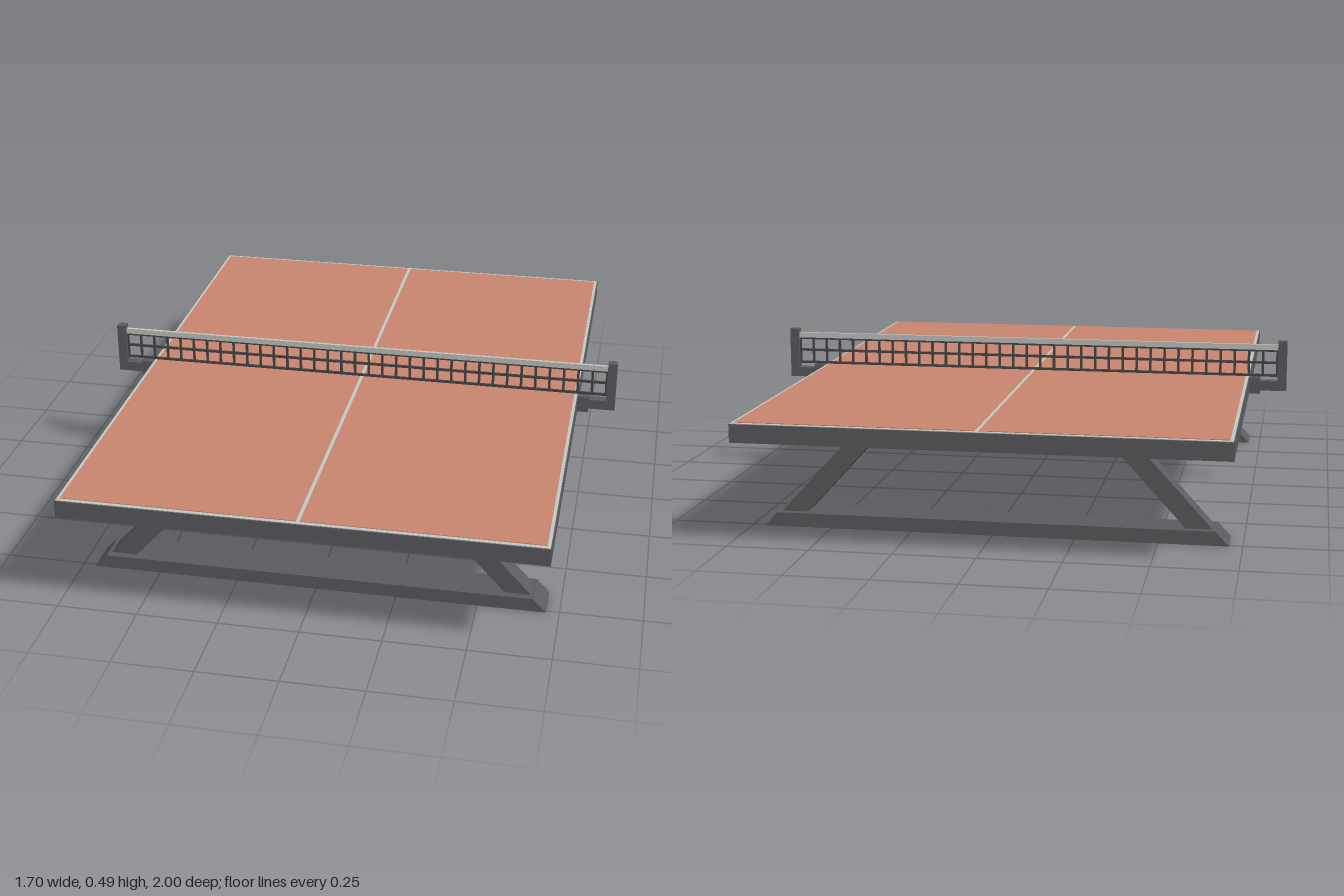
import * as THREE from 'three';

export function createModel() {
  const model = new THREE.Group();
  model.name = 'tableTennisTable';

  const mat = (name, color) => {
    const m = new THREE.MeshStandardMaterial({ color });
    m.name = name;
    return m;
  };
  const frameGrey = mat('frameGrey', 0x5c5b60);
  const clay = mat('clayRed', 0xc8866e);
  const lineGrey = mat('lineGrey', 0xc4c8c2);
  const netDark = mat('netDark', 0x48484b);

  const add = (name, geometry, material, x = 0, y = 0, z = 0, parent = model) => {
    const mesh = new THREE.Mesh(geometry, material);
    mesh.name = name;
    mesh.position.set(x, y, z);
    parent.add(mesh);
    return mesh;
  };
  // Box given by its minimum and maximum corners
  const box = (name, material, [x0, y0, z0], [x1, y1, z1], parent = model) =>
    add(name, new THREE.BoxGeometry(x1 - x0, y1 - y0, z1 - z0), material,
      (x0 + x1) / 2, (y0 + y1) / 2, (z0 + z1) / 2, parent);
  // Outline in x and y, extruded evenly about z = 0
  const slab = (points, depth) => {
    const shape = new THREE.Shape(points.map(([x, y]) => new THREE.Vector2(x, y)));
    return new THREE.ExtrudeGeometry(shape, { depth, bevelEnabled: false }).translate(0, 0, -depth / 2);
  };

  // Table top: slab, pale line layer, two playing halves
  box('tableSlab', frameGrey, [-0.73, 0.313, -1], [0.73, 0.368, 1]);
  box('boundaryLines', lineGrey, [-0.727, 0.368, -0.997], [0.727, 0.37, 0.997]);
  for (const s of [-1, 1]) {
    const half = new THREE.BoxGeometry(0.711, 0.002, 1.97);
    add(s > 0 ? 'leftPlayingHalf' : 'rightPlayingHalf', half, clay, s * 0.3615, 0.371, 0);
  }

  // Two trestles: wide foot with sloped ends and a trapezoid leg frame
  const footShape = slab([[-0.71, 0], [0.71, 0], [0.67, 0.043], [-0.67, 0.043]], 0.116);
  const legShape = slab([
    [0.66, 0.043], [0.412, 0.313], [-0.412, 0.313], [-0.66, 0.043],
    [-0.58, 0.043], [-0.365, 0.277], [0.365, 0.277], [0.58, 0.043],
  ], 0.07);
  for (const s of [-1, 1]) {
    const trestle = new THREE.Group();
    trestle.name = s > 0 ? 'frontTrestle' : 'backTrestle';
    trestle.position.z = s * 0.702;
    model.add(trestle);
    add('foot', footShape, frameGrey, 0, 0, 0, trestle);
    add('legFrame', legShape, frameGrey, 0, 0, 0, trestle);
  }

  // Net holders: clamp, arm and post on each side
  for (const s of [-1, 1]) {
    const holder = new THREE.Group();
    holder.name = s > 0 ? 'leftNetHolder' : 'rightNetHolder';
    model.add(holder);
    const part = (name, x, y, w, h, d) =>
      add(name, new THREE.BoxGeometry(w, h, d), frameGrey, s * x, y, 0, holder);
    part('clamp', 0.7475, 0.344, 0.037, 0.054, 0.046);
    part('arm', 0.795, 0.343, 0.09, 0.032, 0.03);
    part('post', 0.837, 0.41, 0.03, 0.166, 0.028);
  }

  // Net: cords, strings and top tape
  const net = new THREE.Group();
  net.name = 'net';
  model.add(net);
  for (const y of [0.376, 0.419, 0.46]) {
    add('netCord', new THREE.BoxGeometry(1.644, 0.008, 0.006), netDark, 0, y, 0, net);
  }
  const cells = 35;
  for (let i = 0; i <= cells; i++) {
    const x = -0.82 + (1.64 * i) / cells;
    add('netString', new THREE.BoxGeometry(0.008, 0.09, 0.005), netDark, x, 0.417, 0, net);
  }
  box('netTape', lineGrey, [-0.822, 0.462, -0.005], [0.822, 0.48, 0.005], net);

  return model;
}
